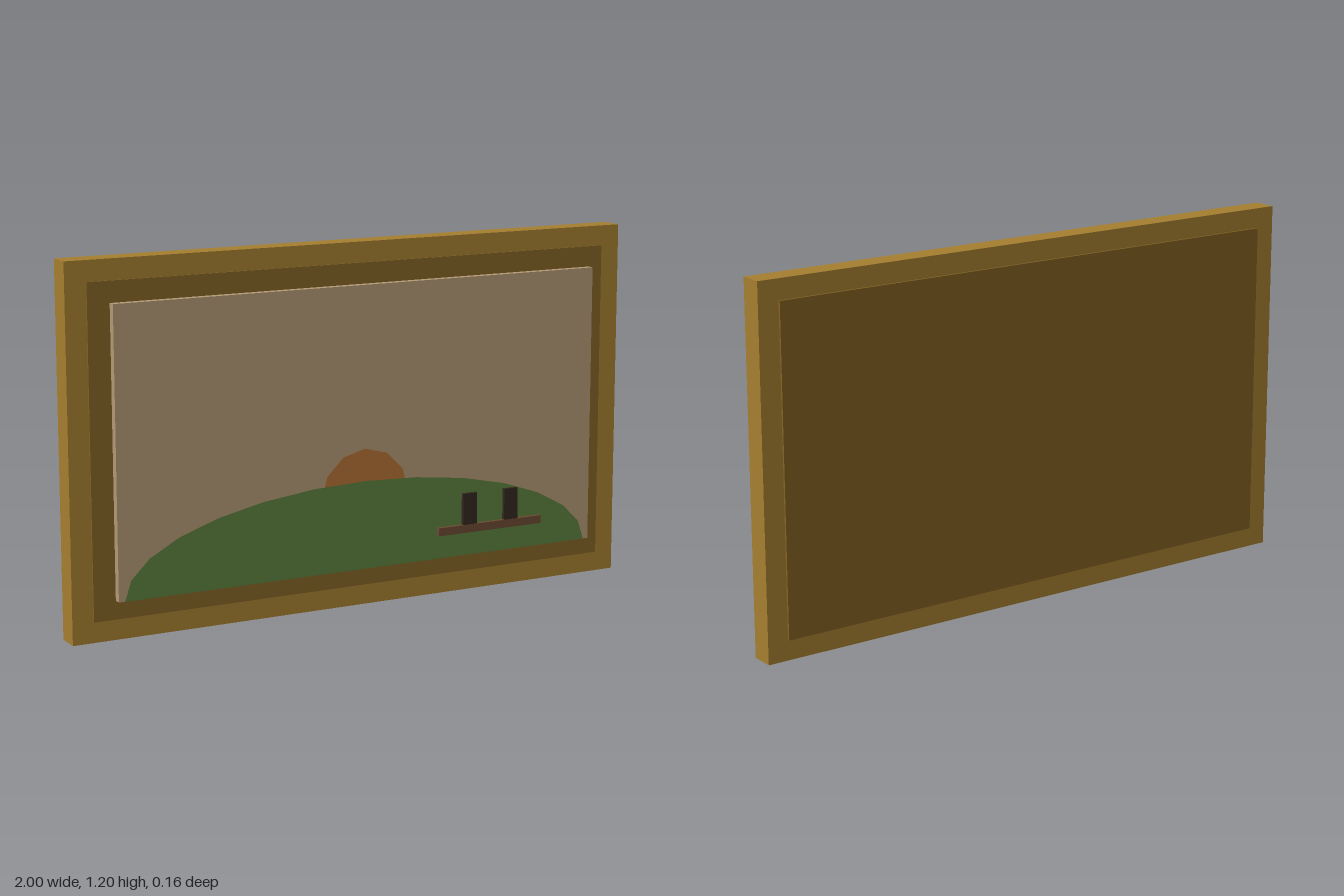
import * as THREE from 'three';

export function createModel() {
  const group = new THREE.Group();
  group.name = 'framedPicture';

  function add(name, geometry, color, x = 0, y = 0, z = 0, side = THREE.FrontSide) {
    const material = new THREE.MeshStandardMaterial({ color, side });
    const mesh = new THREE.Mesh(geometry, material);
    mesh.name = name;
    mesh.position.set(x, y, z);
    group.add(mesh);
    return mesh;
  }

  // Box given by its extents on each axis
  function addBox(name, color, [x0, x1], [y0, y1], [z0, z1]) {
    return add(name, new THREE.BoxGeometry(x1 - x0, y1 - y0, z1 - z0), color,
      (x0 + x1) / 2, (y0 + y1) / 2, (z0 + z1) / 2);
  }

  function rectangle(path, w, y0, y1) {
    path.moveTo(-w, y0);
    path.lineTo(w, y0);
    path.lineTo(w, y1);
    path.lineTo(-w, y1);
    path.closePath();
    return path;
  }

  // Outer frame, open in the middle
  const frame = rectangle(new THREE.Shape(), 1, 0, 1.2);
  frame.holes.push(rectangle(new THREE.Path(), 0.93, 0.067, 1.133));
  add('frame', new THREE.ExtrudeGeometry(frame, { depth: 0.08, bevelEnabled: false }), 0xa67f30, 0, 0, -0.07);

  // Inner panel, slightly proud of the frame on both sides
  addBox('innerPanel', 0x846424, [-0.93, 0.93], [0.067, 1.133], [-0.077, 0.015]);

  // Raised canvas
  addBox('canvas', 0xb39975, [-0.865, 0.865], [0.135, 1.068], [0.037, 0.062]);

  // Flat painted sun and hill, faceted outlines
  add('sun', new THREE.CircleGeometry(0.16, 12), 0xb37234, 0, 0.375, 0.0632, THREE.DoubleSide);
  const hill = add('hill', new THREE.CircleGeometry(1, 14, 0, Math.PI), 0x5c803c, 0, 0.135, 0.0645, THREE.DoubleSide);
  hill.scale.set(0.845, 0.293, 1);

  // Ledge with two upright blocks
  addBox('ledge', 0x6b4a32, [0.267, 0.663], [0.215, 0.242], [0.066, 0.08]);
  [0.387, 0.545].forEach((x, i) =>
    addBox(`uprightBlock${i + 1}`, 0x33271f, [x - 0.026, x + 0.026], [0.242, 0.348], [0.067, 0.079]));

  return group;
}
